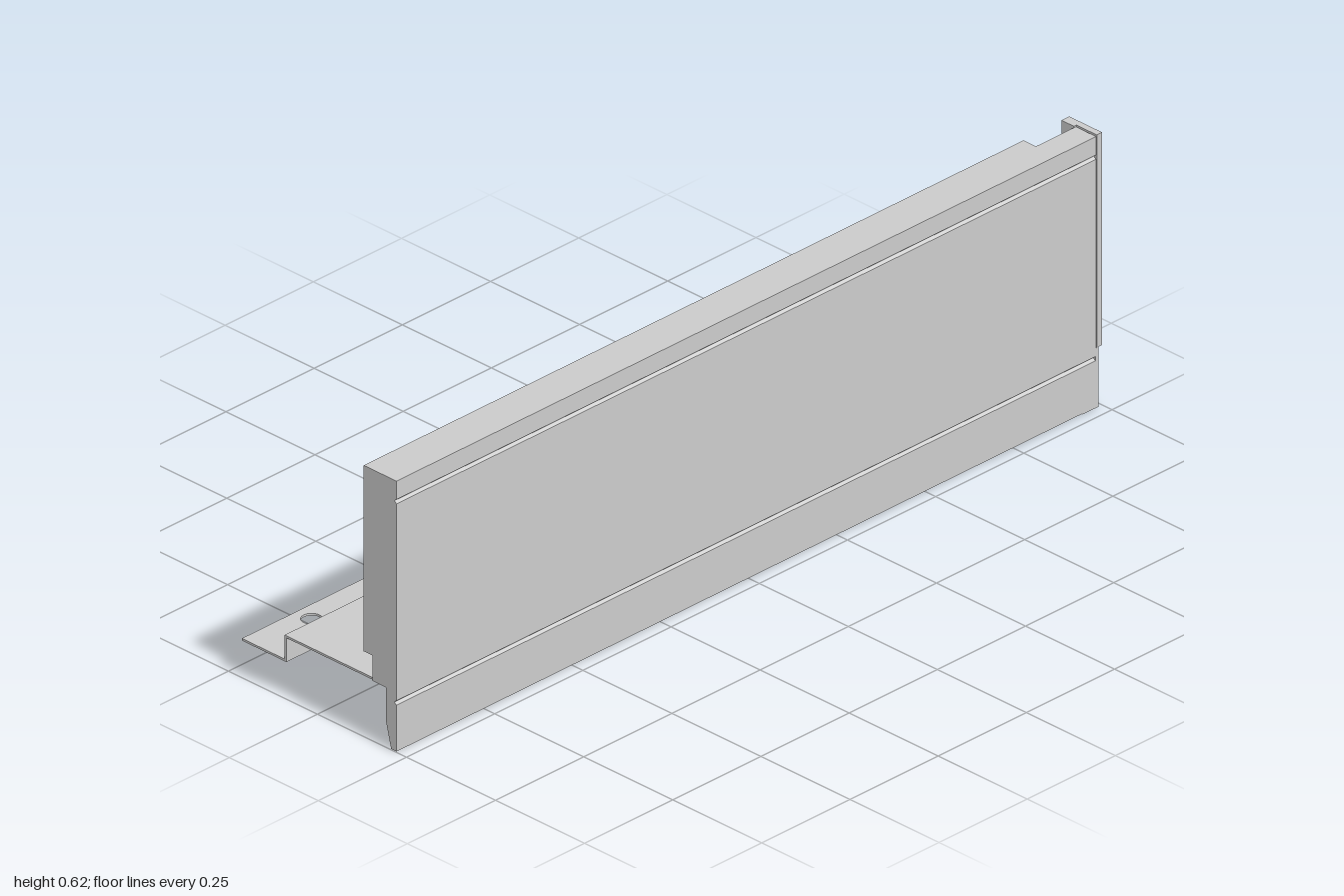
import * as THREE from 'three';

const material = new THREE.MeshStandardMaterial({ color: 0xcccccc, flatShading: true });

function toShape(points) {
  return new THREE.Shape(points.map(([x, y]) => new THREE.Vector2(x, y)));
}

// Extrudes an x-y section from z0 to z1
function extrude(name, points, z0, z1) {
  const geometry = new THREE.ExtrudeGeometry(toShape(points), { depth: z1 - z0, bevelEnabled: false });
  geometry.translate(0, 0, z0);
  const mesh = new THREE.Mesh(geometry, material);
  mesh.name = name;
  return mesh;
}

function box(name, x0, x1, y0, y1, z0, z1) {
  const geometry = new THREE.BoxGeometry(x1 - x0, y1 - y0, z1 - z0);
  geometry.translate((x0 + x1) / 2, (y0 + y1) / 2, (z0 + z1) / 2);
  const mesh = new THREE.Mesh(geometry, material);
  mesh.name = name;
  return mesh;
}

export function createModel() {
  const group = new THREE.Group();
  group.name = 'edgePanel';
  const outer = 0.222, top = 0.62;

  // Outer face with two V grooves, ordered upwards
  const face = [[outer, 0.002]];
  for (const y of [0.113, 0.573]) {
    face.push([outer, y - 0.005], [outer - 0.006, y], [outer, y + 0.005]);
  }
  face.push([outer, top]);

  // Upright panel with tapered skirt and a step along the lower back edge
  const skirt = [[0.155, 0.137], [0.193, 0.137], [0.193, 0.058], [0.207, 0.002]];
  group.add(extrude('panel', [...skirt, ...face, [0.13, top], [0.13, 0.195], [0.155, 0.195]], -0.87, 1));

  // Thinner end of the panel
  group.add(extrude('panelEnd',
    [[0.165, 0.137], ...skirt.slice(1), ...face, [0.165, top]], -0.983, -0.87));

  // End cap: wide upper plate, narrow lower plate and small return lips
  group.add(box('capPlate', 0.13, outer, 0.137, 0.623, -1, -0.985));
  group.add(box('capLip', 0.13, 0.165, 0.137, 0.623, -0.985, -0.978));
  group.add(box('capLowerPlate', 0.185, outer, 0, 0.137, -0.99, -0.981));
  group.add(box('capBottomLip', 0.185, outer, 0, 0.004, -0.985, -0.945));

  // Stepped sheet: shelf and riser
  group.add(extrude('shelf', [
    [-0.102, 0.077], [-0.097, 0.077], [-0.097, 0.132], [0.193, 0.132],
    [0.193, 0.137], [-0.102, 0.137],
  ], -0.89, 0.99));

  // Mounting flange with two screw holes
  const flange = toShape([[-0.222, -0.89], [-0.1, -0.89], [-0.1, 0.99], [-0.222, 0.99]]);
  for (const z of [-0.04, 0.835]) {
    flange.holes.push(new THREE.Path().absarc(-0.18, z, 0.022, 0, Math.PI * 2, true));
  }
  const flangeGeometry = new THREE.ExtrudeGeometry(flange, { depth: 0.005, bevelEnabled: false, curveSegments: 24 });
  flangeGeometry.rotateX(Math.PI / 2).translate(0, 0.082, 0);
  const flangeMesh = new THREE.Mesh(flangeGeometry, material);
  flangeMesh.name = 'mountingFlange';
  group.add(flangeMesh);

  return group;
}
